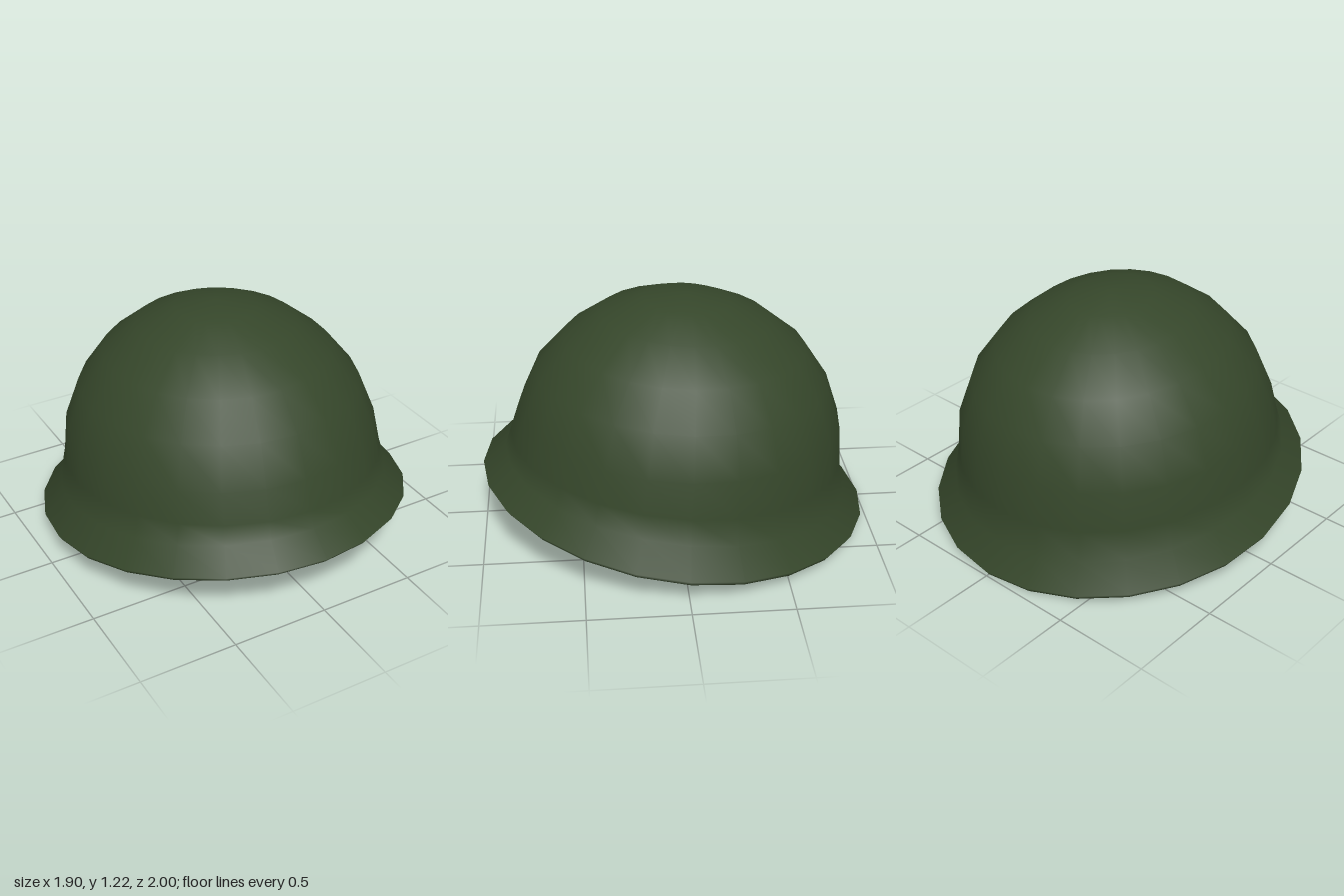
import * as THREE from 'three';
import { mergeVertices } from 'three/addons/utils/BufferGeometryUtils.js';

const SEGMENTS = 24;
const SAG = 0.02;

// Outer rings from crown to brim: [half width, front z, front y, back z, back y]
const OUTER = [
  [0, -0.07, 1.225, -0.07, 1.225],
  [0.205, 0.16, 1.21, -0.29, 1.18],
  [0.4, 0.37, 1.14, -0.49, 1.08],
  [0.575, 0.56, 1.012, -0.67, 0.932],
  [0.71, 0.71, 0.85, -0.79, 0.75],
  [0.79, 0.8, 0.65, -0.86, 0.54],
  [0.815, 0.85, 0.5, -0.875, 0.32],
  [0.845, 0.88, 0.41, -0.9, 0.15],
  [0.95, 1.0, 0.312, -1.0, 0.028],
];
// Turned-under edge of the brim
const LIP = [0.935, 0.983, 0.288, -0.983, 0.002];

// Smooth shell lofted through tilted elliptical rings
function loftRings(rings) {
  const positions = [];
  const indices = [];
  rings.forEach(([rx, zf, yf, zb, yb]) => {
    // The brim dips slightly at the sides
    const sag = rx > 0.9 ? SAG : 0;
    for (let j = 0; j < SEGMENTS; j++) {
      const a = (j / SEGMENTS) * Math.PI * 2;
      const c = Math.cos(a), s = Math.sin(a);
      positions.push(
        rx * s,
        (yf + yb) / 2 + ((yf - yb) / 2) * c - sag * s ** 4,
        (zf + zb) / 2 + ((zf - zb) / 2) * c
      );
    }
  });
  for (let i = 0; i < rings.length - 1; i++) {
    for (let j = 0; j < SEGMENTS; j++) {
      const k = (j + 1) % SEGMENTS;
      const a = i * SEGMENTS + j, d = i * SEGMENTS + k;
      const b = a + SEGMENTS, c = d + SEGMENTS;
      if (rings[i + 1][0] > 0) indices.push(a, b, c);
      if (rings[i][0] > 0) indices.push(a, c, d);
    }
  }
  const raw = new THREE.BufferGeometry();
  raw.setAttribute('position', new THREE.Float32BufferAttribute(positions, 3));
  raw.setIndex(indices);
  const geometry = mergeVertices(raw, 1e-5); // close the crown points
  geometry.computeVertexNormals();
  return geometry;
}

export function createModel() {
  const oliveGreen = new THREE.MeshStandardMaterial({ color: 0x35462a });
  oliveGreen.name = 'oliveGreen';

  // Inner lining follows the outer shell, slightly inset
  const inner = OUTER.slice(0, -1).reverse().map(([rx, zf, yf, zb, yb]) => {
    const t = rx > 0 ? 0.022 : 0;
    return [rx - t, zf - t, yf - 0.02, zb + t, yb - 0.02];
  });

  const shell = new THREE.Mesh(loftRings([...OUTER, LIP, ...inner]), oliveGreen);
  shell.name = 'helmetShell';

  const model = new THREE.Group();
  model.name = 'helmet';
  model.add(shell);
  return model;
}
